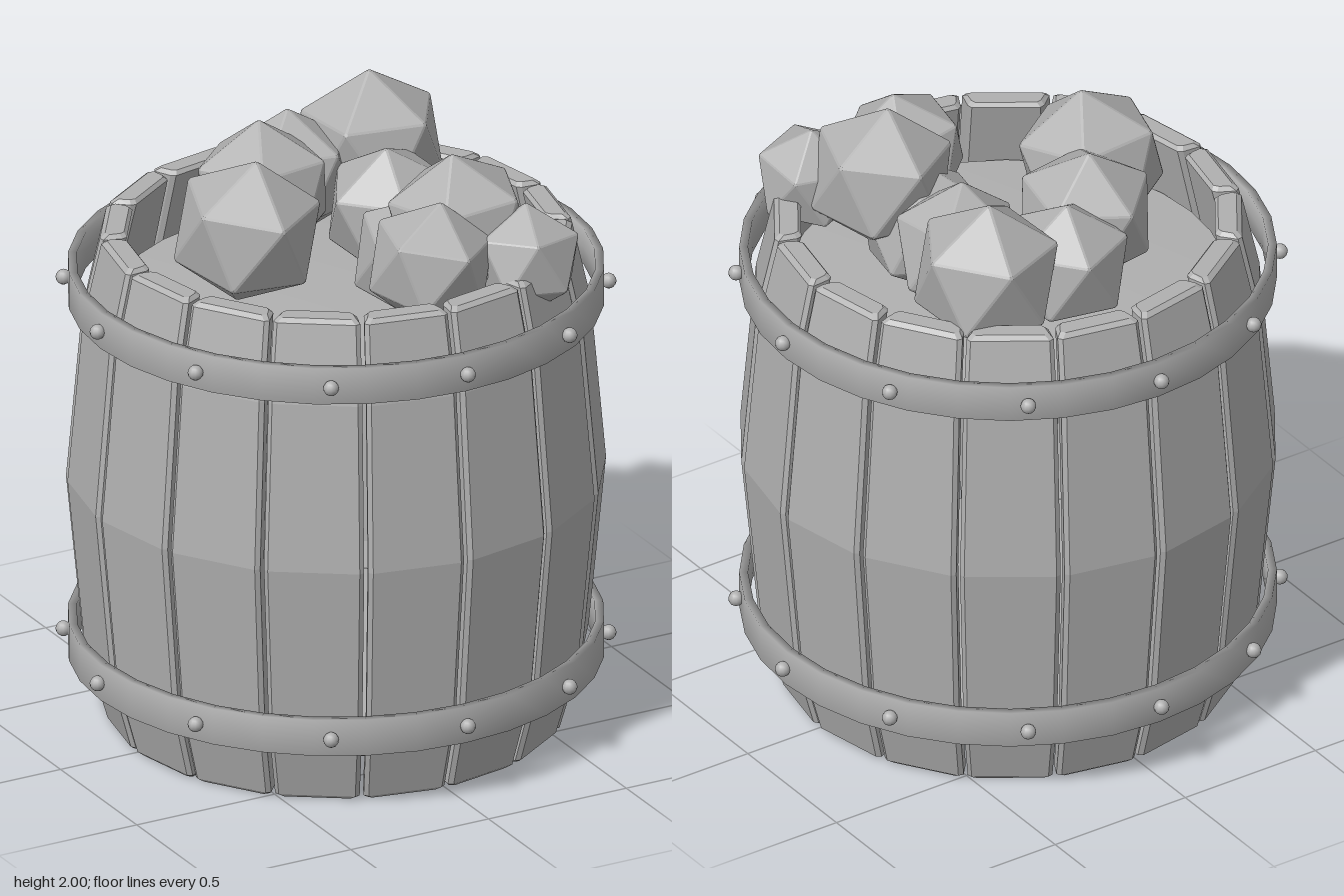
import * as THREE from 'three';
import { ConvexGeometry } from 'three/addons/geometries/ConvexGeometry.js';

const grey = new THREE.MeshStandardMaterial({ color: 0xb0b0b0 });
grey.name = 'grey';

function add(parent, name, geometry) {
  const mesh = new THREE.Mesh(geometry, grey);
  mesh.name = name;
  parent.add(mesh);
  return mesh;
}

// One bevelled, bulging plank: chamfered cross-sections stacked up the barrel
function staveGeometry() {
  const half = Math.PI / 16, gap = 0.009, thick = 0.085, b = 0.013;
  // [height, corner radius, end inset]
  const levels = [[0, 0.735, b], [b, 0.737, 0], [0.27, 0.81, 0], [0.84, 0.865, 0],
    [1.4, 0.815, 0], [1.67 - b, 0.757, 0], [1.67, 0.754, b]];
  const pos = [], index = [];
  for (const [y, radius, inset] of levels) {
    const out = radius * Math.cos(half) - inset;
    const inn = radius * Math.cos(half) - thick + inset;
    const w = (r) => r * Math.tan(half) - gap - inset;
    const wo = w(out), wi = w(inn);
    const ring = [[wo - b, out], [wo, out - b], [wi, inn + b], [wi - b, inn],
      [b - wi, inn], [-wi, inn + b], [-wo, out - b], [b - wo, out]];
    for (const [x, z] of ring) pos.push(x, y, z);
  }
  const n = 8, top = (levels.length - 1) * n;
  for (let l = 0; l < levels.length - 1; l++) {
    for (let i = 0; i < n; i++) {
      const a = l * n + i, c = l * n + (i + 1) % n;
      index.push(a, c, a + n, c, c + n, a + n);
    }
  }
  for (let i = 1; i < n - 1; i++) {
    index.push(0, i + 1, i, top, top + i, top + i + 1);
  }
  const g = new THREE.BufferGeometry();
  g.setAttribute('position', new THREE.Float32BufferAttribute(pos, 3));
  g.setIndex(index);
  const flat = g.toNonIndexed();
  flat.computeVertexNormals();
  return flat;
}

// Ring or disc from a few profile points; the lathe softens the shading over its edges
function lathe(points) {
  return new THREE.LatheGeometry(points.map(([r, y]) => new THREE.Vector2(r, y)), 32);
}

function discGeometry(radius, h) {
  return lathe([[0, -h], [radius, -h], [radius, h], [0, h]]);
}

// Icosahedron with one corner up; each face is shrunk a little so edges and corners are bevelled
function rockGeometry() {
  const ico = new THREE.IcosahedronGeometry(1.03, 0);
  ico.rotateZ(Math.atan(2 / (1 + Math.sqrt(5))));
  const p = ico.attributes.position, points = [];
  for (let f = 0; f < p.count; f += 3) {
    const corners = [0, 1, 2].map((k) => new THREE.Vector3().fromBufferAttribute(p, f + k));
    const middle = new THREE.Vector3();
    corners.forEach((c) => middle.addScaledVector(c, 1 / 3));
    corners.forEach((c) => points.push(c.lerp(middle, 0.06)));
  }
  return new ConvexGeometry(points);
}

export function createModel() {
  const model = new THREE.Group();
  model.name = 'barrelOfRocks';

  // Staves
  const staves = new THREE.Group();
  staves.name = 'staves';
  model.add(staves);
  const stave = staveGeometry();
  for (let i = 0; i < 16; i++) {
    add(staves, 'stave', stave).rotation.y = (i + 0.5) * Math.PI / 8;
  }

  // Hoops with rivets
  const hoop = lathe([[0.826, 0], [0.826, -0.062], [0.854, -0.062],
    [0.854, 0.062], [0.826, 0.062], [0.826, 0]]);
  const rivet = new THREE.SphereGeometry(0.025, 12, 8);
  for (const [name, y] of [['lowerHoop', 0.27], ['upperHoop', 1.49]]) {
    const band = new THREE.Group();
    band.name = name;
    band.position.y = y;
    model.add(band);
    add(band, 'hoopBand', hoop);
    for (let i = 0; i < 12; i++) {
      const a = i * Math.PI / 6;
      add(band, 'rivet', rivet).position.set(Math.sin(a) * 0.866, 0, Math.cos(a) * 0.866);
    }
  }

  // Barrel floor and the shelf under the rocks
  add(model, 'barrelFloor', discGeometry(0.68, 0.03)).position.y = 0.16;
  add(model, 'rockShelf', discGeometry(0.7, 0.025)).position.y = 1.41;

  // Heaped rocks: x, y, z, radius, turn
  const rocks = new THREE.Group();
  rocks.name = 'rocks';
  model.add(rocks);
  const heap = [
    [-0.34, 1.74, 0.03, 0.245, 0.3], [-0.14, 1.74, -0.23, 0.23, 1.1],
    [0.33, 1.755, -0.36, 0.245, 0.7], [0.04, 1.7, -0.38, 0.215, 2.0],
    [0.23, 1.66, -0.06, 0.22, 0.1], [0.19, 1.6, 0.19, 0.215, 1.6],
    [0.27, 1.745, 0.32, 0.24, 0.9], [0.09, 1.7, 0.46, 0.21, 0.4],
    [0.4, 1.68, 0.53, 0.18, 1.3],
  ];
  const rock = rockGeometry();
  for (const [x, y, z, r, turn] of heap) {
    const mesh = add(rocks, 'rock', rock);
    mesh.position.set(x, y, z);
    mesh.scale.setScalar(r);
    mesh.rotation.set(0.15 * Math.sin(turn * 5), turn, 0.15 * Math.cos(turn * 7));
  }
  return model;
}
